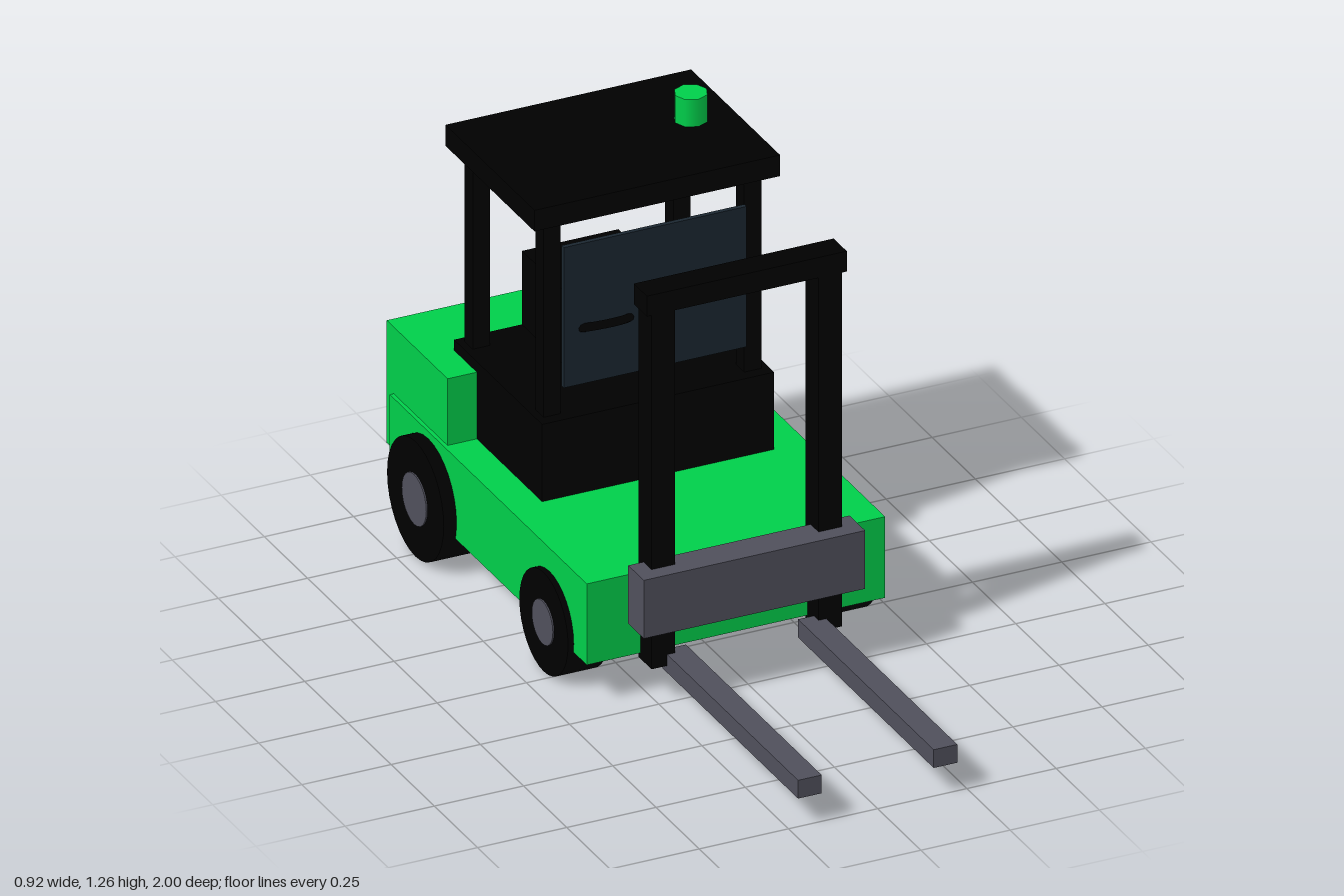
import * as THREE from 'three';

const mat = (name, color) => {
  const m = new THREE.MeshStandardMaterial({ color });
  m.name = name;
  return m;
};

export function createModel() {
  const green = mat('green paint', 0x00d04b);
  const black = mat('black', 0x000000);
  const steel = mat('grey steel', 0x50505c);
  const glass = mat('dark glass', 0x1b2731);

  const model = new THREE.Group();
  model.name = 'forklift';

  const add = (name, geometry, material, x, y, z, parent = model) => {
    const mesh = new THREE.Mesh(geometry, material);
    mesh.name = name;
    mesh.position.set(x, y, z);
    parent.add(mesh);
    return mesh;
  };
  // Box given by its lowest and highest corner
  const box = (name, material, [x0, y0, z0], [x1, y1, z1]) =>
    add(name, new THREE.BoxGeometry(x1 - x0, y1 - y0, z1 - z0), material,
      (x0 + x1) / 2, (y0 + y1) / 2, (z0 + z1) / 2);

  // Chassis, counterweight and cab base
  box('chassis', green, [-0.418, 0.119, -0.96], [0.418, 0.35, 0.18]);
  box('counterweight', green, [-0.407, 0.191, -1], [0.407, 0.54, -0.648]);
  box('cabBase', black, [-0.325, 0.35, -0.78], [0.325, 0.57, -0.27]);
  box('seat', black, [-0.135, 0.57, -0.779], [0.135, 0.78, -0.528]);

  // Cab frame
  box('roof', black, [-0.344, 1.122, -0.79], [0.344, 1.182, -0.275]);
  box('windscreen', glass, [-0.256, 0.65, -0.3], [0.256, 1.05, -0.287]);
  for (const side of [-1, 1]) {
    for (const z of [-0.327, -0.737]) {
      const x = side * 0.281;
      box('cabPost', black, [x - 0.024, 0.565, z - 0.024], [x + 0.024, 1.13, z + 0.024]);
    }
  }

  // Warning beacon
  const beaconGeometry = new THREE.CylinderGeometry(0.044, 0.044, 0.078, 8);
  add('beacon', beaconGeometry, green, 0.22, 1.228, -0.535);

  // Steering column and wheel share one tilted axis
  const low = new THREE.Vector3(-0.137, 0.655, -0.505);
  const high = new THREE.Vector3(-0.137, 0.756, -0.3);
  const axis = high.clone().sub(low);
  const middle = low.clone().add(high).multiplyScalar(0.5);
  const column = add('steeringColumn',
    new THREE.CylinderGeometry(0.015, 0.015, axis.length(), 10), steel, ...middle);
  column.quaternion.setFromUnitVectors(new THREE.Vector3(0, 1, 0), axis.normalize());
  const steering = add('steeringWheel',
    new THREE.TorusGeometry(0.076, 0.011, 8, 24), black, -0.137, 0.793, -0.322);
  steering.rotation.x = Math.PI / 2 - Math.atan2(0.075, 0.16);

  // Mast, carriage and forks
  for (const side of [-1, 1]) {
    const x = side * 0.234;
    box('mastRail', black, [x - 0.033, 0.102, 0.167], [x + 0.033, 1.11, 0.243]);
    const f = side * 0.19;
    box('fork', steel, [f - 0.033, 0.082, 0.215], [f + 0.033, 0.134, 1]);
  }
  box('mastCrossbar', black, [-0.28, 1.11, 0.167], [0.28, 1.168, 0.243]);
  box('carriage', steel, [-0.31, 0.22, 0.197], [0.31, 0.386, 0.287]);

  // Wheels: tyre with a hub disc on the outer face
  const wheel = (name, side, radius, hubRadius, inner, outer, z) => {
    const group = new THREE.Group();
    group.name = name;
    group.position.set(side * (inner + outer) / 2, radius + 0.002, z);
    group.rotation.z = -side * Math.PI / 2;
    const width = outer - inner;
    add('tyre', new THREE.CylinderGeometry(radius, radius, width, 32), black, 0, 0, 0, group);
    add('hub', new THREE.CylinderGeometry(hubRadius, hubRadius, 0.008, 24), steel,
      0, width / 2, 0, group);
    model.add(group);
  };
  for (const side of [-1, 1]) {
    wheel('frontWheel', side, 0.141, 0.061, 0.322, 0.434, -0.036);
    wheel('rearWheel', side, 0.164, 0.071, 0.34, 0.454, -0.737);
  }
  return model;
}
